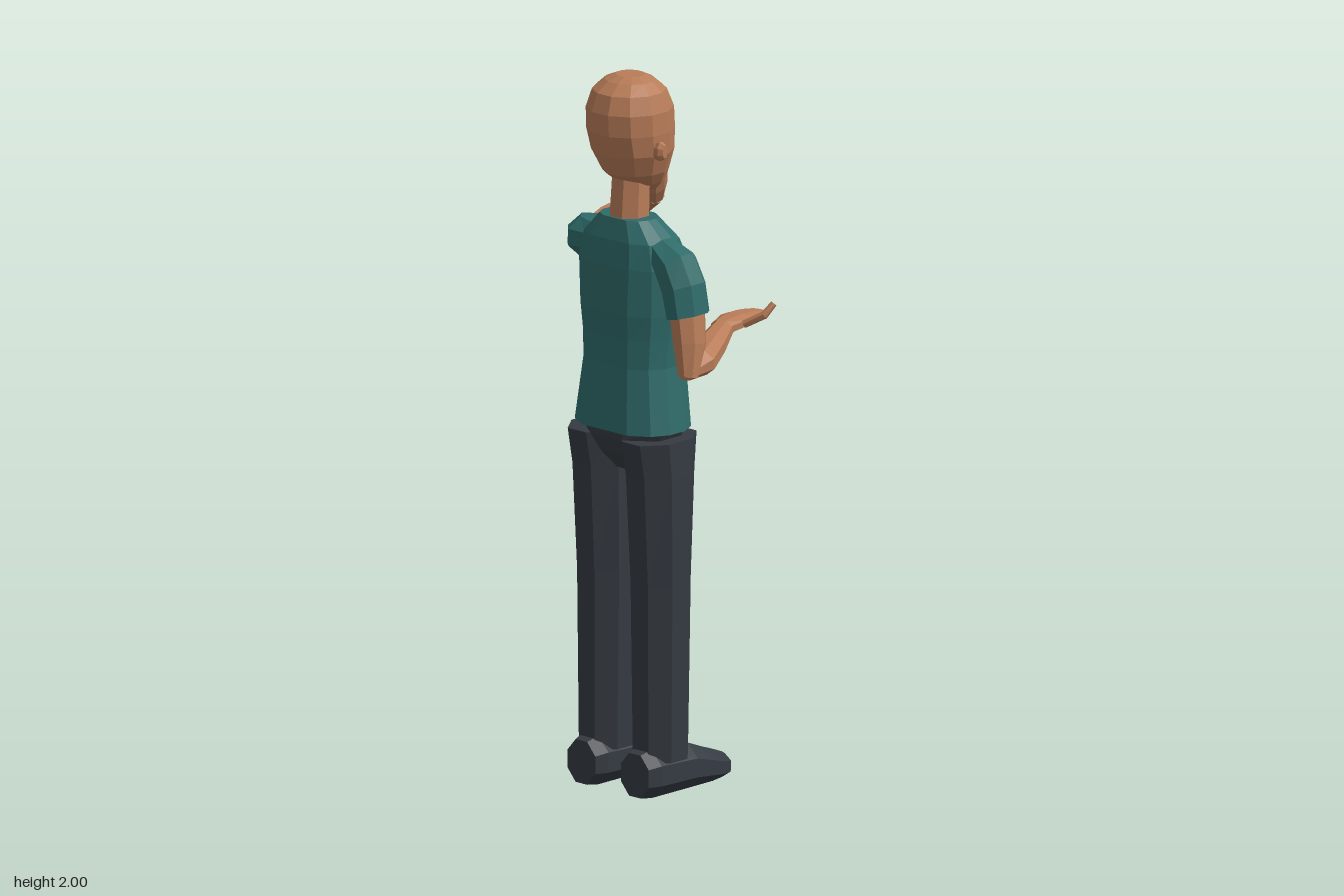
import * as THREE from 'three';

const mat = (name, color) => {
  const m = new THREE.MeshStandardMaterial({ color, flatShading: true });
  m.name = name;
  return m;
};

// Regular outline with a flat facing each axis
const ngon = (n) => Array.from({ length: n }, (_, i) => {
  const a = ((i + 0.5) / n) * Math.PI * 2, k = 1 / Math.cos(Math.PI / n);
  return [Math.cos(a) * k, Math.sin(a) * k];
});

// Skins an outline along stations [x, y, z, halfWidth, halfDepth]
function loft(stations, { ref = [0, 0, 1], axis = null, outline = ngon(8) } = {}) {
  const centres = stations.map((s) => new THREE.Vector3(s[0], s[1], s[2]));
  const r = new THREE.Vector3(...ref), n = outline.length, last = stations.length - 1;
  const pos = [], index = [];
  stations.forEach((s, i) => {
    const t = axis ? new THREE.Vector3(...axis)
      : centres[Math.min(i + 1, last)].clone().sub(centres[Math.max(i - 1, 0)]).normalize();
    const u = r.clone().cross(t).normalize(), v = t.clone().cross(u);
    for (const [a, b] of outline) {
      const p = centres[i].clone().addScaledVector(u, a * s[3]).addScaledVector(v, b * s[4]);
      pos.push(p.x, p.y, p.z);
    }
  });
  for (let i = 0; i < last; i++) for (let j = 0; j < n; j++) {
    const k = (j + 1) % n, a = i * n + j, b = i * n + k;
    index.push(a, b, b + n, a, b + n, a + n);
  }
  for (let j = 1; j < n - 1; j++) {
    index.push(0, j + 1, j, last * n, last * n + j, last * n + j + 1);
  }
  const g = new THREE.BufferGeometry();
  g.setAttribute('position', new THREE.Float32BufferAttribute(pos, 3));
  g.setIndex(index);
  const flat = g.toNonIndexed();
  flat.computeVertexNormals();
  return flat;
}

export function createModel() {
  const model = new THREE.Group();
  model.name = 'standingPerson';
  const skin = mat('skin', 0xb87c58), shirt = mat('tealShirt', 0x2f6b6a);
  const trousers = mat('darkTrousers', 0x353b42), gold = mat('goldPatch', 0xb8963f);
  const dark = mat('darkEye', 0x282c33);

  const add = (name, geometry, material) => {
    const m = new THREE.Mesh(geometry, material);
    m.name = name;
    model.add(m);
    return m;
  };
  const cx = 0.017;
  const up = [0, 1, 0];
  // Vertical part from [y, halfWidth, zCentre, halfDepth] rows
  const column = (name, rows, material, outline, x = cx) => add(name,
    loft(rows.map(([y, w, z, d]) => [x, y, z, w, d]), { axis: up, outline }), material);

  // Head and neck
  column('head', [
    [1.67, 0.035, 0.065, 0.03], [1.695, 0.06, 0.08, 0.065], [1.73, 0.085, 0.1, 0.09],
    [1.79, 0.11, 0.111, 0.108], [1.85, 0.115, 0.119, 0.117], [1.91, 0.114, 0.122, 0.117],
    [1.96, 0.098, 0.124, 0.098], [1.987, 0.07, 0.122, 0.065], [2.0, 0.04, 0.12, 0.037],
  ], skin, ngon(12));
  column('neck', [[1.58, 0.053, 0.125, 0.053], [1.75, 0.05, 0.115, 0.05]], skin);

  // Face details, facing -z
  add('nose', loft([[cx, 1.805, 0.02, 0.018, 0.025], [cx, 1.79, -0.03, 0.002, 0.002]],
    { ref: up, outline: ngon(4) }), skin);
  const eye = add('eye', new THREE.BoxGeometry(0.028, 0.048, 0.009), dark);
  eye.position.set(-0.035, 1.835, 0.009);
  eye.rotation.y = 0.5;
  for (const s of [-1, 1]) {
    add(s < 0 ? 'rightEar' : 'leftEar', loft([
      [cx + s * 0.1, 1.805, 0.132, 0.012, 0.02], [cx + s * 0.125, 1.807, 0.13, 0.015, 0.026],
      [cx + s * 0.136, 1.807, 0.126, 0.009, 0.018],
    ], { ref: up, axis: [s, 0, 0] }), skin);
  }

  // Shirt body, with a broad flat chest and back
  const half = [[1, 0.25], [0.85, 0.7], [0.5, 1], [-0.5, 1], [-0.85, 0.7], [-1, 0.25]];
  column('shirtBody', [
    [1.02, 0.167, 0.11, 0.113], [1.2, 0.143, 0.103, 0.104], [1.28, 0.148, 0.097, 0.111],
    [1.35, 0.156, 0.088, 0.127], [1.48, 0.16, 0.105, 0.105], [1.55, 0.143, 0.115, 0.085],
    [1.607, 0.085, 0.125, 0.057],
  ], shirt, [...half, ...half.map(([a, b]) => [-a, -b])]);
  const patch = add('chestPatch', new THREE.BoxGeometry(0.15, 0.13, 0.008), gold);
  patch.position.set(cx, 1.414, -0.022);
  patch.rotation.x = 0.29;

  // Hips
  column('hips', [
    [0.9, 0.04, 0.11, 0.045], [0.95, 0.09, 0.11, 0.085], [1.0, 0.14, 0.111, 0.105],
    [1.03, 0.155, 0.111, 0.103],
  ], trousers);

  // Legs and shoes
  for (const s of [-1, 1]) {
    const side = s < 0 ? 'right' : 'left';
    add(side + 'Leg', loft([
      [cx + s * 0.101, 0.1, 0.108, 0.071, 0.077], [cx + s * 0.1, 0.6, 0.106, 0.078, 0.084],
      [cx + s * 0.1, 0.9, 0.108, 0.083, 0.098], [cx + s * 0.101, 1.0, 0.113, 0.082, 0.111],
    ], { axis: up }), trousers);
    const x = cx + s * 0.1;
    add(side + 'Shoe', loft([
      [x, 0.065, 0.207, 0.052, 0.06], [x, 0.068, 0.17, 0.066, 0.068],
      [x, 0.064, 0.03, 0.067, 0.064], [x, 0.044, -0.07, 0.065, 0.044],
      [x, 0.038, -0.11, 0.055, 0.036], [x, 0.036, -0.13, 0.038, 0.026],
    ], { ref: up, axis: [0, 0, -1] }), trousers);
  }

  // Left arm: hanging, elbow bent, palm held out
  add('leftSleeve', loft([
    [0.135, 1.535, 0.122, 0.035, 0.045], [0.19, 1.495, 0.124, 0.058, 0.06],
    [0.222, 1.44, 0.126, 0.056, 0.062], [0.238, 1.365, 0.125, 0.05, 0.062],
  ]), shirt);
  add('leftUpperArm', loft([
    [0.232, 1.4, 0.125, 0.043, 0.052], [0.25, 1.29, 0.132, 0.04, 0.047],
    [0.264, 1.2, 0.152, 0.027, 0.026],
  ]), skin);
  add('leftForearm', loft([
    [0.266, 1.215, 0.165, 0.025, 0.02], [0.247, 1.228, 0.09, 0.044, 0.036],
    [0.212, 1.25, 0.01, 0.04, 0.034], [0.177, 1.277, -0.075, 0.029, 0.024],
  ], { ref: up }), skin);
  add('leftHand', loft([
    [0.177, 1.277, -0.065, 0.03, 0.022], [0.166, 1.285, -0.13, 0.045, 0.02],
    [0.161, 1.287, -0.19, 0.043, 0.014], [0.159, 1.286, -0.225, 0.036, 0.01],
    [0.158, 1.286, -0.24, 0.02, 0.007],
  ], { ref: up }), skin);
  add('leftThumb', loft([
    [0.213, 1.285, -0.12, 0.01, 0.009], [0.262, 1.315, -0.148, 0.01, 0.01],
    [0.275, 1.345, -0.172, 0.008, 0.007],
  ], { outline: ngon(6) }), skin);

  // Right arm: raised forward, hand brought to the chin
  add('rightSleeve', loft([
    [-0.1, 1.515, 0.122, 0.04, 0.045], [-0.155, 1.505, 0.098, 0.06, 0.056],
    [-0.187, 1.495, 0.06, 0.064, 0.06], [-0.217, 1.485, 0.008, 0.058, 0.053],
  ], { ref: up }), shirt);
  add('rightUpperArm', loft([
    [-0.21, 1.485, 0.03, 0.048, 0.042], [-0.242, 1.5, -0.065, 0.044, 0.038],
    [-0.272, 1.515, -0.145, 0.024, 0.022],
  ], { ref: up }), skin);
  add('rightForearm', loft([
    [-0.285, 1.515, -0.15, 0.018, 0.018], [-0.225, 1.535, -0.127, 0.038, 0.034],
    [-0.14, 1.573, -0.09, 0.038, 0.034], [-0.055, 1.615, -0.05, 0.027, 0.027],
  ], { ref: up }), skin);
  add('rightHand', loft([
    [-0.06, 1.61, -0.052, 0.026, 0.026], [-0.035, 1.645, -0.03, 0.024, 0.035],
    [-0.012, 1.685, -0.012, 0.018, 0.034], [0.004, 1.712, -0.003, 0.012, 0.025],
    [0.012, 1.727, 0.003, 0.006, 0.01],
  ]), skin);
  add('rightThumb', loft([
    [-0.045, 1.635, -0.02, 0.011, 0.011], [-0.052, 1.665, 0.008, 0.01, 0.01],
    [-0.045, 1.685, 0.02, 0.007, 0.007],
  ], { outline: ngon(6) }), skin);

  return model;
}
